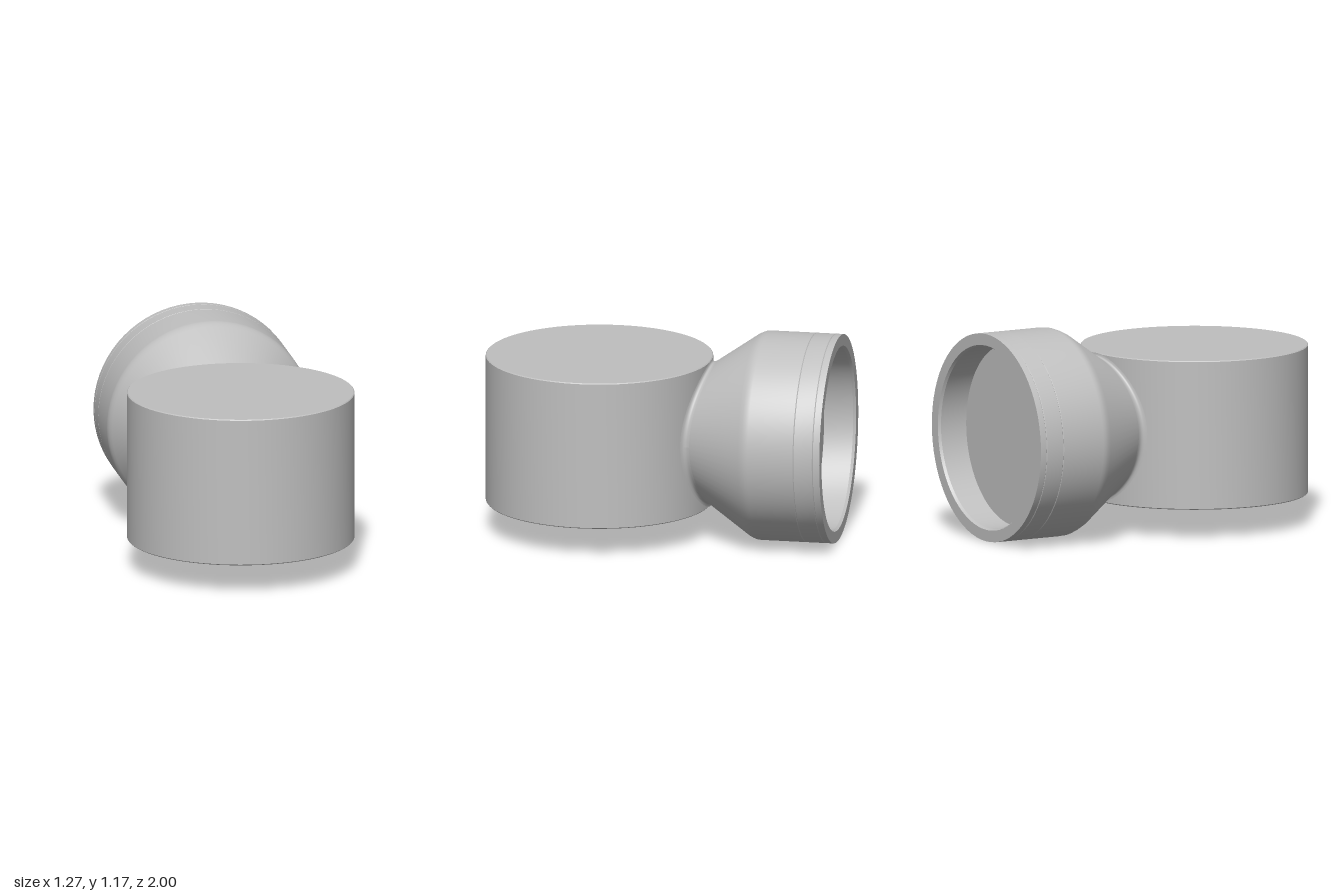
import * as THREE from 'three';
import { toCreasedNormals } from 'three/addons/utils/BufferGeometryUtils.js';

const AXIS_Y = 0.588;                    // height of the horizontal socket axis
const BODY = { r: 0.637, z: 0.363, bottom: 0.168, top: 1.01 };
const coneRadius = (z) => 0.391 - 0.69 * (z + 0.274);
const bodyZ = (x) => BODY.z - Math.sqrt(BODY.r ** 2 - x ** 2);

function lathe(profile, segments) {
  const points = profile.map(([r, y]) => new THREE.Vector2(r, y));
  return toCreasedNormals(new THREE.LatheGeometry(points, segments), 0.5);
}

// Small concave blend following the curve where the cone meets the upright drum
function blendGeometry(size = 0.03, around = 72, steps = 5) {
  const pos = [], index = [];
  for (let i = 0; i <= around; i++) {
    const a = (i / around) * Math.PI * 2;
    let z = -0.25;
    for (let k = 0; k < 30; k++) z = bodyZ(coneRadius(z) * Math.cos(a));
    const at = (r, zz) => new THREE.Vector3(r * Math.cos(a), AXIS_Y + r * Math.sin(a), zz);
    const r = coneRadius(z), rOut = r + size;
    const curve = new THREE.QuadraticBezierCurve3(
      at(coneRadius(z - size), z - size), at(r, z), at(rOut, bodyZ(rOut * Math.cos(a))));
    for (let j = 0; j <= steps; j++) pos.push(...curve.getPoint(j / steps).toArray());
  }
  const row = steps + 1;
  for (let i = 0; i < around; i++) {
    for (let j = 0; j < steps; j++) {
      const p = i * row + j, q = p + row;
      index.push(p, q, q + 1, p, q + 1, p + 1);
    }
  }
  const g = new THREE.BufferGeometry();
  g.setAttribute('position', new THREE.Float32BufferAttribute(pos, 3));
  g.setIndex(index);
  g.computeVertexNormals();
  return g;
}

export function createModel() {
  const model = new THREE.Group();
  const grey = new THREE.MeshStandardMaterial({ color: 0xbfbfbf });
  grey.name = 'plain grey';

  const add = (name, geometry) => {
    const mesh = new THREE.Mesh(geometry, grey);
    mesh.name = name;
    model.add(mesh);
    return mesh;
  };

  // Upright solid drum with slightly eased rims
  const { r, bottom, top } = BODY, e = 0.005;
  add('drum', lathe([
    [0, bottom], [r - e, bottom], [r, bottom + e],
    [r, top - e], [r - e, top], [0, top],
  ], 96)).position.z = BODY.z;

  // Flared socket: cone, rounded shoulder, sleeve with fine seams, open recess
  const R = 0.587;
  const seam = (d) => [[R, d - 0.003], [R - 0.003, d], [R, d + 0.003]];
  const socket = lathe([
    [coneRadius(-0.1), 0.1], [coneRadius(-0.53), 0.53],
    [0.579, 0.553], [R - 0.001, 0.572], [R, 0.59],
    ...seam(0.85), ...seam(0.96),
    [R, 1], [0.522, 1], [0.513, 0.985], [0.513, 0.82], [0, 0.82],
  ], 72);
  socket.rotateX(-Math.PI / 2);
  add('socket', socket).position.y = AXIS_Y;

  add('neckBlend', blendGeometry());
  return model;
}
